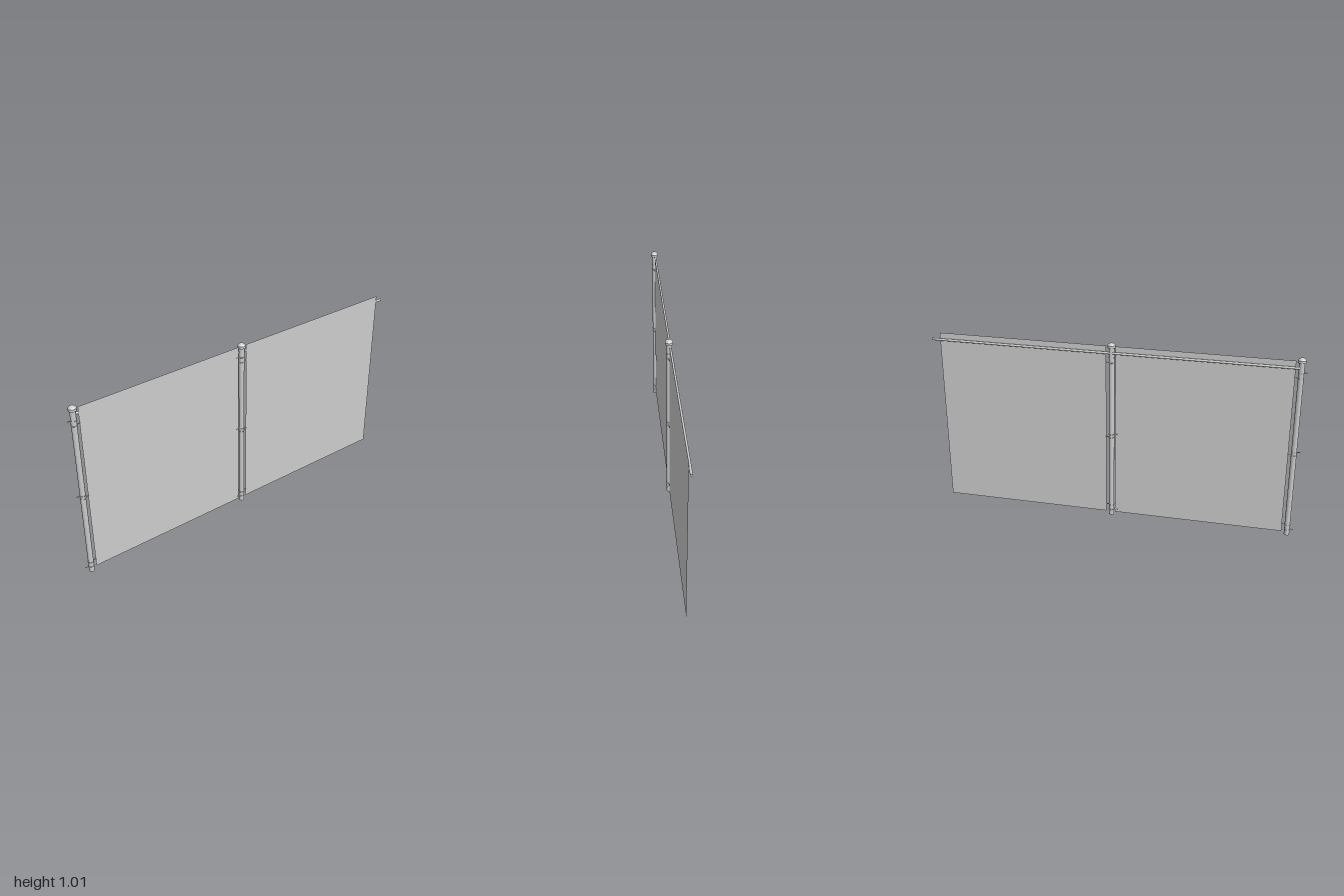
import * as THREE from 'three';

const material = new THREE.MeshStandardMaterial({ color: 0xcccccc });
const sheet = new THREE.MeshStandardMaterial({ color: 0xcccccc, side: THREE.DoubleSide });

function add(parent, name, geometry, x, y, z, mat = material) {
  const mesh = new THREE.Mesh(geometry, mat);
  mesh.name = name;
  mesh.position.set(x, y, z);
  parent.add(mesh);
  return mesh;
}

// Horizontal rod between two x positions
function rod(parent, name, x0, x1, y, z, radius, sides) {
  const geometry = new THREE.CylinderGeometry(radius, radius, x1 - x0, sides).rotateZ(Math.PI / 2);
  return add(parent, name, geometry, (x0 + x1) / 2, y, z);
}

// Clamp around a post, with a bolt pointing to one side
function clamp(parent, y, side) {
  const group = new THREE.Group();
  group.name = 'clamp';
  group.position.y = y;
  add(group, 'clampBand', new THREE.TorusGeometry(0.0148, 0.0016, 6, 24).rotateX(Math.PI / 2), 0, 0, 0);
  const ends = side < 0 ? [-0.033, -0.014] : [0.014, 0.033];
  rod(group, 'clampBolt', ends[0], ends[1], 0, 0, 0.0022, 8);
  parent.add(group);
}

function post(x) {
  const group = new THREE.Group();
  group.name = 'post';
  group.position.x = x;
  add(group, 'postTube', new THREE.CylinderGeometry(0.0145, 0.0145, 0.99, 24), 0, 0.495, 0);

  // Cap: straight rim under a shallow dome
  add(group, 'capRim', new THREE.CylinderGeometry(0.021, 0.021, 0.013, 24), 0, 0.9945, 0);
  const dome = [[0.021, 0], [0.017, 0.005], [0.011, 0.0095], [0.005, 0.0115], [0, 0.012]];
  add(group, 'capDome', new THREE.LatheGeometry(dome.map(p => new THREE.Vector2(...p)), 24), 0, 1.001, 0);

  // Clamps in pairs, one bolt to each side
  for (const [left, right] of [[0.934, 0.905], [0.494, 0.476], [0.033, 0.061]]) {
    clamp(group, left, -1);
    clamp(group, right, 1);
  }
  return group;
}

export function createModel() {
  const model = new THREE.Group();
  model.name = 'fence';
  const postX = [-0.967, 0.005];

  for (const x of postX) {
    model.add(post(x));
    // Mesh panel hung beside each post
    add(model, 'panel', new THREE.PlaneGeometry(0.923, 0.98), x + 0.4905, 0.505, 0, sheet);
  }

  // Top rail runs behind both panels and past the open end
  rod(model, 'topRail', postX[0], 1, 0.959, -0.0075, 0.0065, 16);
  return model;
}
